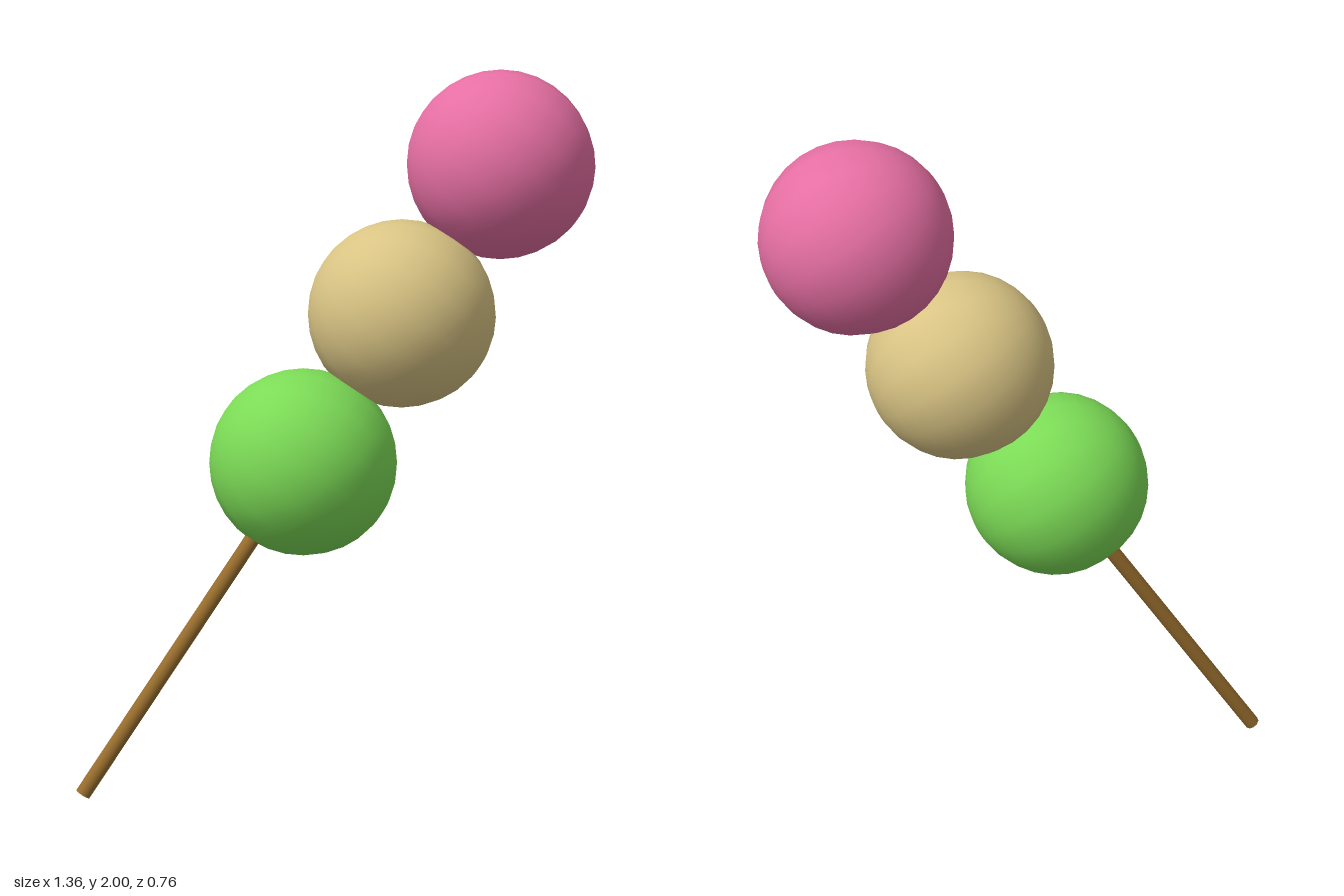
import * as THREE from 'three';

const mat = (color) => new THREE.MeshStandardMaterial({ color });

export function createModel() {
  const group = new THREE.Group();
  group.name = 'dumplingSkewer';

  // Tilted frame: local y runs up the stick, local x along the dumplings' poles
  const up = new THREE.Vector3(0.515, 0.823, -0.23).normalize();
  const side = new THREE.Vector3(0.82, -0.5, -0.2).addScaledVector(
    up, -up.dot(new THREE.Vector3(0.82, -0.5, -0.2))).normalize();
  const depth = new THREE.Vector3().crossVectors(side, up);
  group.quaternion.setFromRotationMatrix(new THREE.Matrix4().makeBasis(side, up, depth));
  group.position.set(-0.663, 0.013, 0.355);

  // Stick, ending inside the top dumpling
  const length = 2.1;
  const stick = new THREE.Mesh(
    new THREE.CylinderGeometry(0.022, 0.022, length, 10).translate(0, length / 2, 0),
    mat(0x9a6f2e));
  stick.name = 'stick';
  group.add(stick);

  // Three dumplings threaded on the stick
  const ball = new THREE.SphereGeometry(0.261, 16, 16).rotateZ(Math.PI / 2);
  const dumplings = [
    ['greenDumpling', 1.112, 0x7cdb56],
    ['tanDumpling', 1.606, 0xd9c484],
    ['pinkDumpling', 2.1, 0xe66fa3],
  ];
  for (const [name, y, color] of dumplings) {
    const mesh = new THREE.Mesh(ball, mat(color));
    mesh.name = name;
    mesh.position.y = y;
    group.add(mesh);
  }

  const root = new THREE.Group();
  root.name = 'model';
  root.add(group);
  return root;
}
